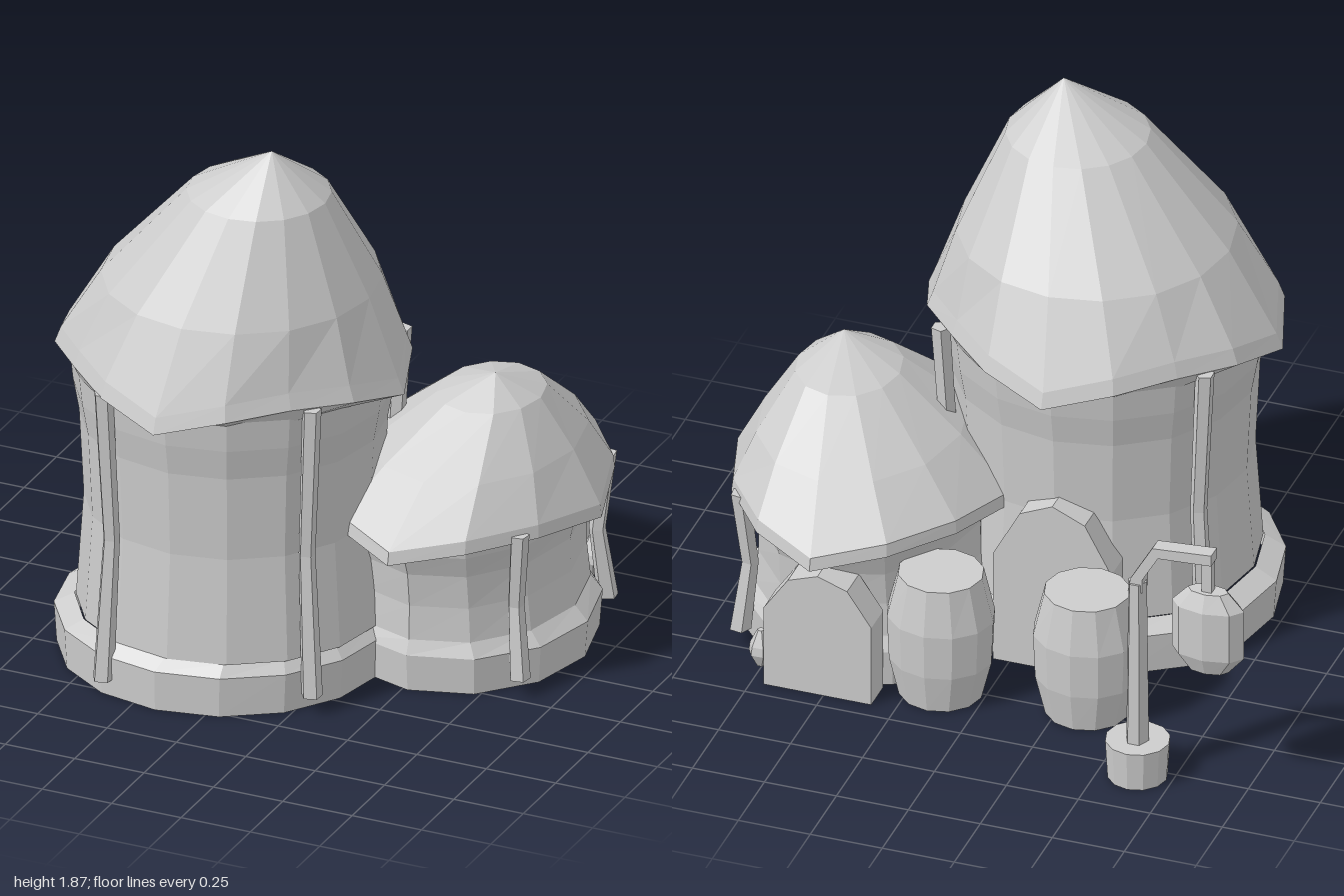
import * as THREE from 'three';

const clay = new THREE.MeshStandardMaterial({ color: 0xcccccc, side: THREE.DoubleSide });
clay.name = 'lightGrey';

function fromTriangles(pos) {
  const g = new THREE.BufferGeometry();
  g.setAttribute('position', new THREE.Float32BufferAttribute(pos, 3));
  g.computeVertexNormals();
  return g;
}

// Flat-faced skin through rings of [cx, y, cz, rx, rz, wave?]; wave(k) gives [radius scale, y offset]
function loft(rings, n, { bottom = false, top = false, phase = 0 } = {}) {
  const pos = [];
  const point = ([cx, y, cz, rx, rz, wave], k) => {
    const [s, dy] = wave ? wave(k % n) : [1, 0];
    const t = phase + (k / n) * Math.PI * 2;
    return [cx + Math.cos(t) * rx * s, y + dy, cz + Math.sin(t) * rz * s];
  };
  const all = [...rings];
  const flat = (r) => [r[0], r[1], r[2], 0, 0];
  if (bottom) all.unshift(flat(rings[0]));
  if (top) all.push(flat(rings[rings.length - 1]));
  for (let i = 0; i + 1 < all.length; i++) {
    for (let k = 0; k < n; k++) {
      const a = point(all[i], k), b = point(all[i], k + 1);
      const c = point(all[i + 1], k + 1), d = point(all[i + 1], k);
      if (all[i][3] > 0) pos.push(...a, ...d, ...b);
      if (all[i + 1][3] > 0) pos.push(...b, ...d, ...c);
    }
  }
  return fromTriangles(pos);
}

const outline = (points) => new THREE.Shape(points.map(([x, y]) => new THREE.Vector2(x, y)));

export function createModel() {
  const model = new THREE.Group();
  const add = (name, geometry, x = 0, y = 0, z = 0, parent = model) => {
    const mesh = new THREE.Mesh(geometry, clay);
    mesh.name = name;
    mesh.position.set(x, y, z);
    parent.add(mesh);
  };

  // Round tower: plinth and waisted wall, open inside
  const tx = -0.135, tz = 0.27;
  const towerRing = (y, r) => [tx, y, tz, r, r];
  add('towerPlinth', loft([[-0.165, 0, tz, 0.553, 0.543], [-0.165, 0.14, tz, 0.563, 0.548], [-0.145, 0.18, tz, 0.51, 0.512]], 16));
  add('towerWall', loft([towerRing(0.18, 0.515), towerRing(0.55, 0.49), towerRing(0.85, 0.505),
    towerRing(0.96, 0.525), towerRing(1.1, 0.54)], 16));

  // Tower roof: leaning cone with drooping corners and a flat underside
  const towerEave = (k) => [[1, 0], [0.95, 0.055], [0.9, 0.07], [0.95, 0.055]][k % 4];
  add('towerRoof', loft([
    [tx, 1.055, tz, 0.53, 0.53],
    [tx, 1.04, tz, 0.615, 0.622, towerEave],
    [tx, 1.095, tz, 0.593, 0.603, towerEave],
    [-0.1, 1.37, 0.281, 0.46, 0.467],
    [-0.022, 1.7, 0.315, 0.238, 0.238],
    [0.04, 1.87, 0.35, 0, 0],
  ], 16));

  // Oval side hut
  const hx = 0.52, hz = -0.14;
  const hutRing = (y, rx, rz) => [hx, y, hz, rx, rz];
  add('hutPlinth', loft([hutRing(0, 0.42, 0.47), hutRing(0.13, 0.43, 0.48), hutRing(0.18, 0.385, 0.46)], 12));
  add('hutWall', loft([hutRing(0.18, 0.385, 0.46), hutRing(0.3, 0.37, 0.455), hutRing(0.42, 0.367, 0.47),
    hutRing(0.5, 0.385, 0.5), hutRing(0.57, 0.39, 0.51)], 12));
  const hutEave = (k) => (k % 3 === 0 ? [1, 0] : [0.94, 0.035]);
  add('hutRoof', loft([
    [hx, 0.53, hz, 0.385, 0.505],
    [hx, 0.52, hz, 0.48, 0.625, hutEave],
    [hx, 0.565, hz, 0.475, 0.615, hutEave],
    [0.56, 0.745, -0.14, 0.34, 0.43],
    [0.615, 0.92, -0.12, 0.175, 0.205],
    [0.655, 1.01, -0.06, 0, 0],
  ], 12));

  // Crooked posts leaning against the walls: bent inward at mid height
  const post = (name, x, z, cx, cz, height) => {
    const d = Math.hypot(x - cx, z - cz);
    const ux = (x - cx) / d, uz = (z - cz) / d;
    const ring = (y, inward, r) => [x - ux * inward, y, z - uz * inward, r, r];
    add(name, loft([ring(0.06, 0, 0.037), ring(0.06 + (height - 0.06) * 0.48, 0.035, 0.029),
      ring(height, 0, 0.033)], 5, { bottom: true, top: true, phase: Math.atan2(uz, ux) }));
  };
  for (const [x, z] of [[0.305, 0.61], [-0.365, 0.785], [-0.595, -0.05], [0.315, -0.07]])
    post('towerPost', x, z, tx, tz, 1.1);
  for (const [x, z] of [[0.865, 0.205], [0.865, -0.475]]) post('hutPost', x, z, hx, hz, 0.58);

  // Arched doors at the back: a front panel and its jambs, open below
  const door = (name, x, z, w, h, depth) => {
    const arch = [[w, 0], [w, h * 0.65], [w * 0.55, h * 0.92], [0, h],
      [-w * 0.55, h * 0.92], [-w, h * 0.65], [-w, 0]];
    const jambs = [];
    for (let i = 0; i + 1 < arch.length; i++) {
      const [a, b] = [arch[i], arch[i + 1]];
      jambs.push(...a, 0, ...b, 0, ...a, depth, ...b, 0, ...b, depth, ...a, depth);
    }
    const group = new THREE.Group();
    group.name = name;
    group.position.set(x, 0, z);
    const panel = new THREE.ShapeGeometry(outline(arch.map(([px, py]) => [-px, py])));
    panel.rotateY(Math.PI);
    add('doorPanel', panel, 0, 0, 0, group);
    add('doorJambs', fromTriangles(jambs), 0, 0, 0, group);
    model.add(group);
  };
  door('hutDoor', hx, -0.687, 0.187, 0.455, 0.115);
  door('towerDoor', -0.15, -0.285, 0.205, 0.63, 0.11);

  // Small bulbs beside the doors
  for (const [x, z] of [[0.735, -0.635], [0.18, -0.245]]) {
    add('doorBulb', loft([[0, 0.04, 0, 0.015, 0.015], [0, 0.09, 0, 0.042, 0.042],
      [0, 0.12, 0, 0.038, 0.038], [0, 0.175, 0, 0.012, 0.012]], 6, { bottom: true, top: true }), x, 0, z);
  }

  // Barrels, open underneath
  for (const [x, z] of [[-0.338, -0.47], [0.15, -0.524]]) {
    const ring = (y, rx, rz) => [x, y, z, rx, rz];
    add('barrel', loft([ring(0, 0.14, 0.135), ring(0.14, 0.175, 0.16), ring(0.3, 0.182, 0.166),
      ring(0.46, 0.143, 0.139)], 12, { top: true }));
  }

  // Lamp post with bent arm and hanging lantern
  const px = -0.63, pz = -0.79;
  const poleRing = (y, r) => [px, y, pz, r, r];
  add('lampFoot', loft([poleRing(0, 0.1), poleRing(0.14, 0.108)], 12, { top: true }));
  add('lampPole', loft([[px, 0.1, pz, 0.04, 0.05], [px, 0.75, pz, 0.032, 0.04]], 6, { top: true }));
  add('lampArm', new THREE.ExtrudeGeometry(outline([[-0.655, 0.72], [-0.605, 0.72], [-0.615, 0.77],
    [-0.69, 0.9], [-0.895, 0.915], [-0.895, 0.875], [-0.71, 0.865], [-0.655, 0.77]]),
  { depth: 0.055, bevelEnabled: false }), 0, 0, pz - 0.0275);
  add('lanternHook', new THREE.BoxGeometry(0.035, 0.14, 0.035), -0.875, 0.82, pz);
  const lanternRing = (y, rx, rz) => [-0.875, y, pz, rx, rz];
  add('lantern', loft([lanternRing(0.46, 0.07, 0.035), lanternRing(0.525, 0.125, 0.06),
    lanternRing(0.705, 0.125, 0.06), lanternRing(0.765, 0.07, 0.035)], 8, { bottom: true, top: true }));

  return model;
}
